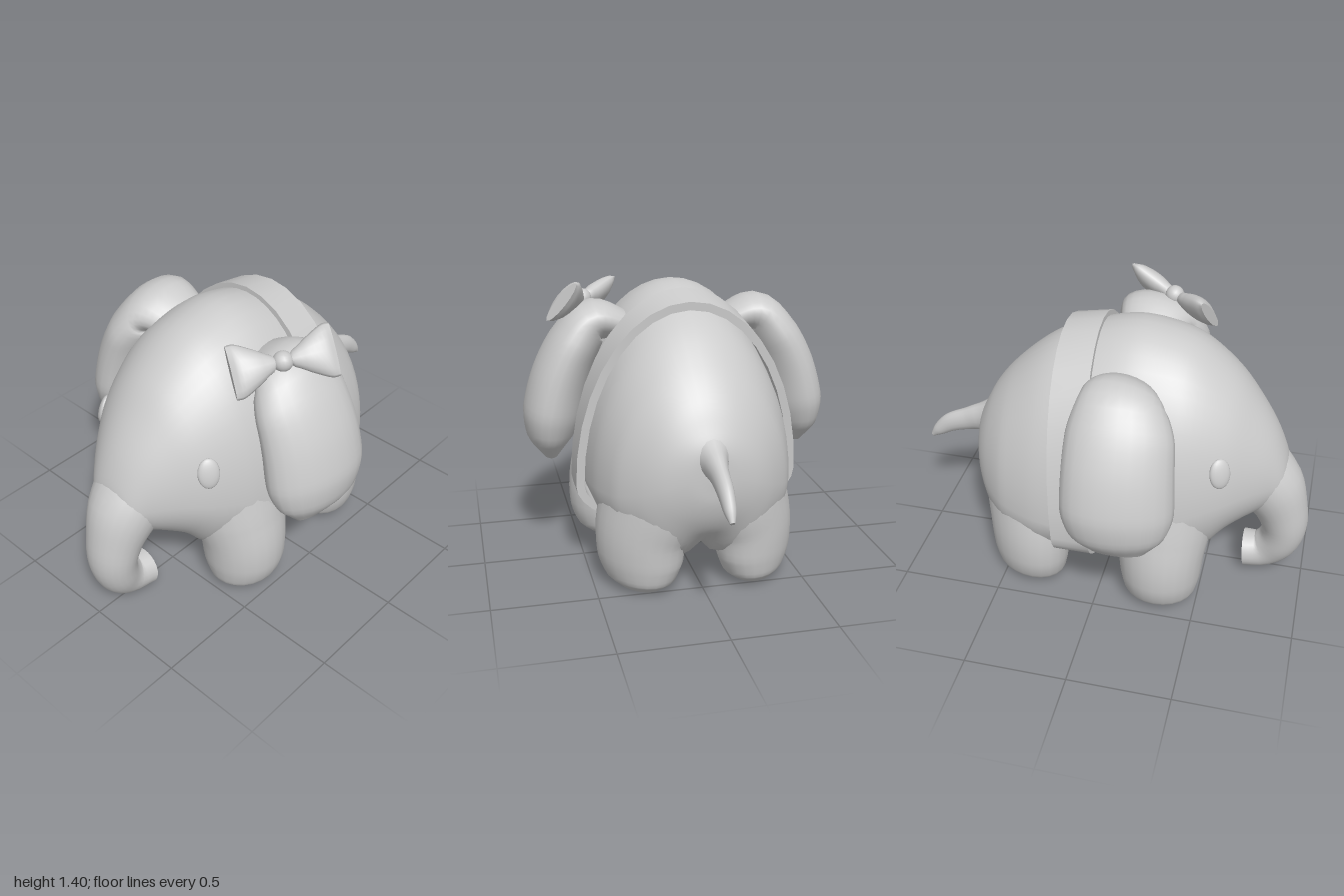
import * as THREE from 'three';
import { toCreasedNormals } from 'three/addons/utils/BufferGeometryUtils.js';

const grey = new THREE.MeshStandardMaterial({ color: 0xcccccc });

// Leg centres, girth and how far the section slants
const LEGS = [
  { name: 'Front', x: 0.32, z: 0.31, size: 1, skew: 0 },
  { name: 'Back', x: 0.28, z: -0.38, size: 0.97, skew: 0.3 },
];

// Skin a list of rings (arrays of Vector3, counter-clockwise about the travel direction)
function skin(rings, caps = true) {
  const n = rings[0].length, pos = [], idx = [];
  rings.forEach(r => r.forEach(p => pos.push(p.x, p.y, p.z)));
  for (let i = 0; i < rings.length - 1; i++) {
    for (let j = 0; j < n; j++) {
      const a = i * n + j, b = i * n + (j + 1) % n;
      idx.push(a, b, b + n, a, b + n, a + n);
    }
  }
  if (caps) {
    [rings[0], rings[rings.length - 1]].forEach((ring, end) => {
      const base = pos.length / 3;
      const c = ring.reduce((s, p) => s.add(p), new THREE.Vector3()).divideScalar(n);
      [...ring, c].forEach(p => pos.push(p.x, p.y, p.z));
      for (let j = 0; j < n; j++) {
        const a = base + j, b = base + (j + 1) % n;
        if (end) idx.push(a, b, base + n);
        else idx.push(b, a, base + n);
      }
    });
  }
  const g = new THREE.BufferGeometry();
  g.setAttribute('position', new THREE.Float32BufferAttribute(pos, 3));
  g.setIndex(idx);
  g.computeVertexNormals();
  return g;
}

const curve = pts => new THREE.CatmullRomCurve3(pts.map(p => new THREE.Vector3(...p)));

// Sweep an oval along a path in the xy plane; stations are [x, y, radius in plane, radius in z, z].
// A skew slants the oval in z from one side of the path to the other.
function sweep(stations, { steps = 24, sides = 24, skew = 0 } = {}) {
  const path = curve(stations.map(s => [s[0], s[1], 0]));
  const size = curve(stations.map(s => [s[2], s[3], s[4] ?? 0]));
  const rings = [];
  for (let i = 0; i <= steps; i++) {
    const c = path.getPoint(i / steps), t = path.getTangent(i / steps), r = size.getPoint(i / steps);
    rings.push(Array.from({ length: sides }, (_, j) => {
      const a = j / sides * Math.PI * 2;
      const u = r.x * Math.cos(a), v = r.y * Math.sin(a) + skew * u;
      return new THREE.Vector3(c.x - t.y * u, c.y + t.x * u, r.z + v);
    }));
  }
  return skin(rings);
}

function bodyGeometry() {
  // z, top, bottom, half width, height of the widest point (0 to 1)
  const sections = [
    [-0.695, 0.7, 0.6, 0.03, 0.5], [-0.685, 0.77, 0.5, 0.12, 0.45], [-0.65, 0.85, 0.4, 0.225, 0.4],
    [-0.59, 0.96, 0.32, 0.315, 0.34], [-0.48, 1.09, 0.26, 0.415, 0.29], [-0.3, 1.24, 0.23, 0.48, 0.25],
    [-0.1, 1.33, 0.22, 0.5, 0.23], [0.1, 1.38, 0.22, 0.5, 0.24], [0.25, 1.365, 0.24, 0.49, 0.26],
    [0.4, 1.315, 0.28, 0.455, 0.3], [0.58, 1.18, 0.33, 0.365, 0.36], [0.7, 1.035, 0.4, 0.275, 0.4],
    [0.8, 0.88, 0.46, 0.185, 0.43], [0.86, 0.74, 0.5, 0.12, 0.45], [0.875, 0.66, 0.6, 0.03, 0.5]];
  const spine = curve(sections.map(s => [s[1], s[2], s[0]]));
  const girth = curve(sections.map(s => [s[3], s[4], 0]));
  const rings = [];
  for (let i = 0; i <= 70; i++) {
    const s = spine.getPoint(i / 70), w = girth.getPoint(i / 70);
    const height = s.x - s.y, mid = s.y + height * w.y;
    rings.push(Array.from({ length: 48 }, (_, j) => {
      const a = j / 48 * Math.PI * 2, up = Math.sin(a);
      const x = w.x * Math.cos(a);
      let y = mid + up * height * (up > 0 ? 1 - w.y : w.y);
      // Draw the underside down towards the legs
      for (const leg of LEGS) {
        const gap = Math.max(0, Math.hypot(Math.abs(x) - leg.x, s.z - leg.z) - 0.2);
        y -= 0.1 * Math.max(0, -up) * Math.exp(-((gap / 0.07) ** 2));
      }
      return new THREE.Vector3(x, y, s.z);
    }));
  }
  return skin(rings);
}

// Flat strap round the body, leaning back slightly towards the top
function strapGeometry() {
  const rings = [];
  for (let i = 0; i <= 36; i++) {
    const a = i / 36 * Math.PI * 2, up = Math.sin(a);
    const point = (offset, z) => {
      const y = 0.45 + up * ((up > 0 ? 0.92 : 0.25) + offset);
      return new THREE.Vector3((0.55 + offset) * Math.cos(a), y - Math.max(up, 0) * (z < 0 ? 0.035 : 0),
        z - 0.085 - 0.06 * (y - 0.2) / 1.17);
    };
    rings.push([point(0, 0.09), point(0, -0.09), point(-0.04, -0.09), point(-0.04, 0.09)]);
  }
  return toCreasedNormals(skin(rings, false), 0.7);
}

export function createModel() {
  const model = new THREE.Group();
  const add = (name, geometry, parent = model) => {
    const mesh = new THREE.Mesh(geometry, grey);
    mesh.name = name;
    parent.add(mesh);
    return mesh;
  };

  add('body', bodyGeometry());
  add('strap', strapGeometry());

  // Trunk and tail lie in the zy plane
  add('trunk', sweep([
    [0.58, 0.74, 0.12, 0.2], [0.69, 0.66, 0.165, 0.205], [0.795, 0.54, 0.165, 0.175], [0.86, 0.41, 0.132, 0.142],
    [0.885, 0.29, 0.115, 0.125], [0.86, 0.185, 0.105, 0.108], [0.785, 0.11, 0.1, 0.085], [0.695, 0.1, 0.095, 0.1],
  ]).rotateY(-Math.PI / 2));
  add('tail', sweep([
    [-0.6, 0.72, 0.13, 0.12], [-0.7, 0.705, 0.078, 0.06], [-0.78, 0.68, 0.062, 0.042],
    [-0.88, 0.64, 0.052, 0.036], [-0.95, 0.585, 0.034, 0.028], [-0.99, 0.545, 0.012, 0.012],
  ], { sides: 16 }).rotateY(-Math.PI / 2));

  for (const side of [1, -1]) {
    const label = side > 0 ? 'left' : 'right';
    const mirror = stations => stations.map(([x, ...rest]) => [x * side, ...rest]);

    // Drooping padded ear, narrow where it joins the head, its outer face slanting back
    add(label + 'Ear', sweep(mirror([
      [0.2, 1.1, 0.08, 0.12, 0.11], [0.3, 1.175, 0.085, 0.15, 0.115], [0.41, 1.19, 0.115, 0.19, 0.13],
      [0.5, 1.08, 0.135, 0.235, 0.14], [0.57, 0.92, 0.15, 0.245, 0.145], [0.61, 0.76, 0.155, 0.25, 0.15],
      [0.63, 0.63, 0.125, 0.22, 0.155], [0.635, 0.525, 0.045, 0.13, 0.155],
    ]), { steps: 30, skew: -0.38 * side }));

    // Stubby legs that swell into the body
    for (const { name, x, z, size, skew } of LEGS) {
      add(label + name + 'Leg', sweep(mirror([
        [0, 0.02, 0.115, 0.14], [0, 0.06, 0.165, 0.18], [0, 0.15, 0.2, 0.2], [-0.005, 0.28, 0.212, 0.212],
        [-0.045, 0.42, 0.23, 0.235], [-0.105, 0.62, 0.245, 0.245], [-0.15, 0.82, 0.2, 0.2],
      ].map(([dx, y, r, d]) => [x + dx, y, r * size, d])), { skew: -skew * side })).position.z = z;
    }

    // Oval eye set on the cheek
    const eye = add(label + 'Eye', new THREE.SphereGeometry(1, 20, 14));
    eye.scale.set(0.052, 0.075, 0.022);
    eye.position.set(side * 0.35, 0.83, 0.575);
    eye.rotation.set(-0.25, side * 1.0, 0, 'YXZ');
  }

  // Bow beside the left ear
  const bow = new THREE.Group();
  bow.name = 'bow';
  const along = new THREE.Vector3(0.24, 0.04, -0.38).normalize();
  const across = new THREE.Vector3(-0.15, 0.2, -0.07).normalize();
  bow.setRotationFromMatrix(new THREE.Matrix4().makeBasis(along, across, along.clone().cross(across)));
  bow.position.set(0.445, 1.29, 0.2);
  add('bowLoops', sweep([
    [-0.235, 0, 0.12, 0.025], [-0.2, 0, 0.12, 0.045], [-0.12, 0, 0.08, 0.048], [-0.04, 0, 0.035, 0.03],
    [0.04, 0, 0.035, 0.03], [0.12, 0, 0.08, 0.048], [0.2, 0, 0.12, 0.045], [0.235, 0, 0.12, 0.025],
  ], { sides: 16 }), bow);
  add('bowKnot', new THREE.SphereGeometry(0.047, 16, 12), bow);
  model.add(bow);

  return model;
}
